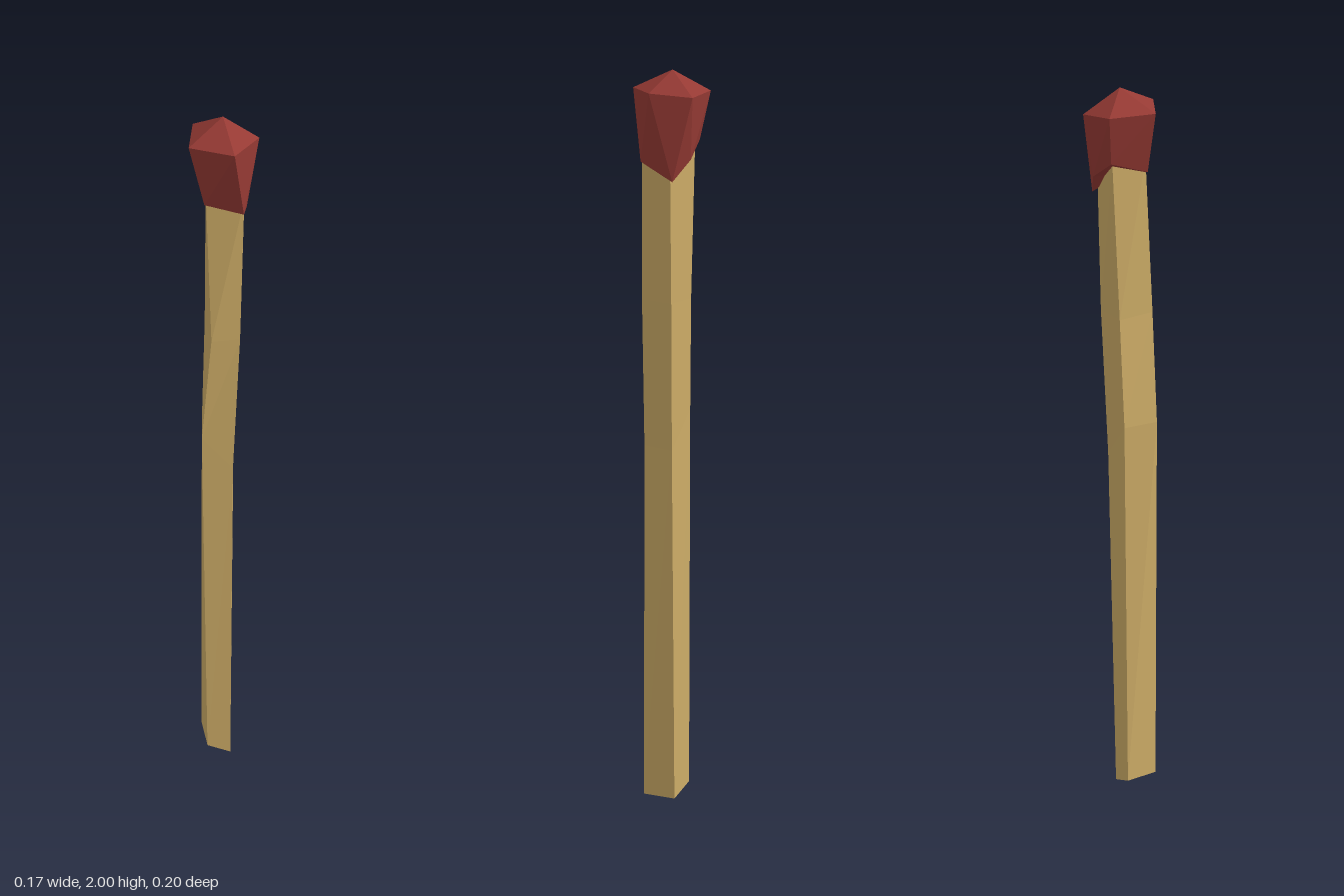
import * as THREE from 'three';

// Skins rings of [x, y, z] points, ordered bottom to top and counter-clockwise
// from above, and closes both ends with a fan to a centre point.
function loft(rings, topPoint) {
  const pos = [];
  const tri = (a, b, c) => pos.push(...a, ...b, ...c);
  const centre = (ring) =>
    [0, 1, 2].map((k) => ring.reduce((s, p) => s + p[k], 0) / ring.length);
  const bottom = rings[0];
  const top = rings[rings.length - 1];
  const low = centre(bottom);
  const high = topPoint || centre(top);
  const n = bottom.length;
  for (let i = 0; i < n; i++) {
    const j = (i + 1) % n;
    for (let r = 0; r < rings.length - 1; r++) {
      const a = rings[r];
      const b = rings[r + 1];
      tri(a[i], a[j], b[j]);
      tri(a[i], b[j], b[i]);
    }
    tri(low, bottom[j], bottom[i]);
    tri(high, top[i], top[j]);
  }
  const geo = new THREE.BufferGeometry();
  geo.setAttribute('position', new THREE.Float32BufferAttribute(pos, 3));
  geo.computeVertexNormals();
  return geo;
}

function part(name, geometry, color) {
  const material = new THREE.MeshStandardMaterial({ color, flatShading: true });
  const mesh = new THREE.Mesh(geometry, material);
  mesh.name = name;
  return mesh;
}

export function createModel() {
  const group = new THREE.Group();
  group.name = 'matchstick';

  // Four-sided wooden stick, slanted at the foot and bent near the top
  const stick = loft([
    [[-0.045, 0.028, 0.083], [0.02, 0, 0.075], [-0.003, 0.005, -0.02], [-0.07, 0.035, -0.012]],
    [[-0.056, 1.1, 0.076], [0.025, 1.0, 0.065], [0.02, 1.0, -0.032], [-0.063, 1.1, -0.02]],
    [[-0.03, 1.4, 0.073], [0.042, 1.4, 0.056], [0.036, 1.4, -0.045], [-0.055, 1.4, -0.03]],
    [[-0.045, 1.82, 0.045], [0.05, 1.8, 0.046], [0.046, 1.8, -0.05], [-0.05, 1.82, -0.048]],
  ]);
  group.add(part('stick', stick, 0xcfae68));

  // Five-sided faceted head that flares upward to a blunt point
  const head = loft([
    [[-0.048, 1.785, 0.05], [0.05, 1.763, 0.052], [0.05, 1.72, -0.062], [0.0, 1.775, -0.08], [-0.06, 1.82, -0.055]],
    [[-0.085, 1.945, 0.055], [0.03, 1.95, 0.098], [0.083, 1.945, -0.01], [0.015, 1.935, -0.1], [-0.085, 1.945, -0.07]],
  ], [-0.006, 2, -0.009]);
  group.add(part('head', head, 0x963a34));

  return group;
}
